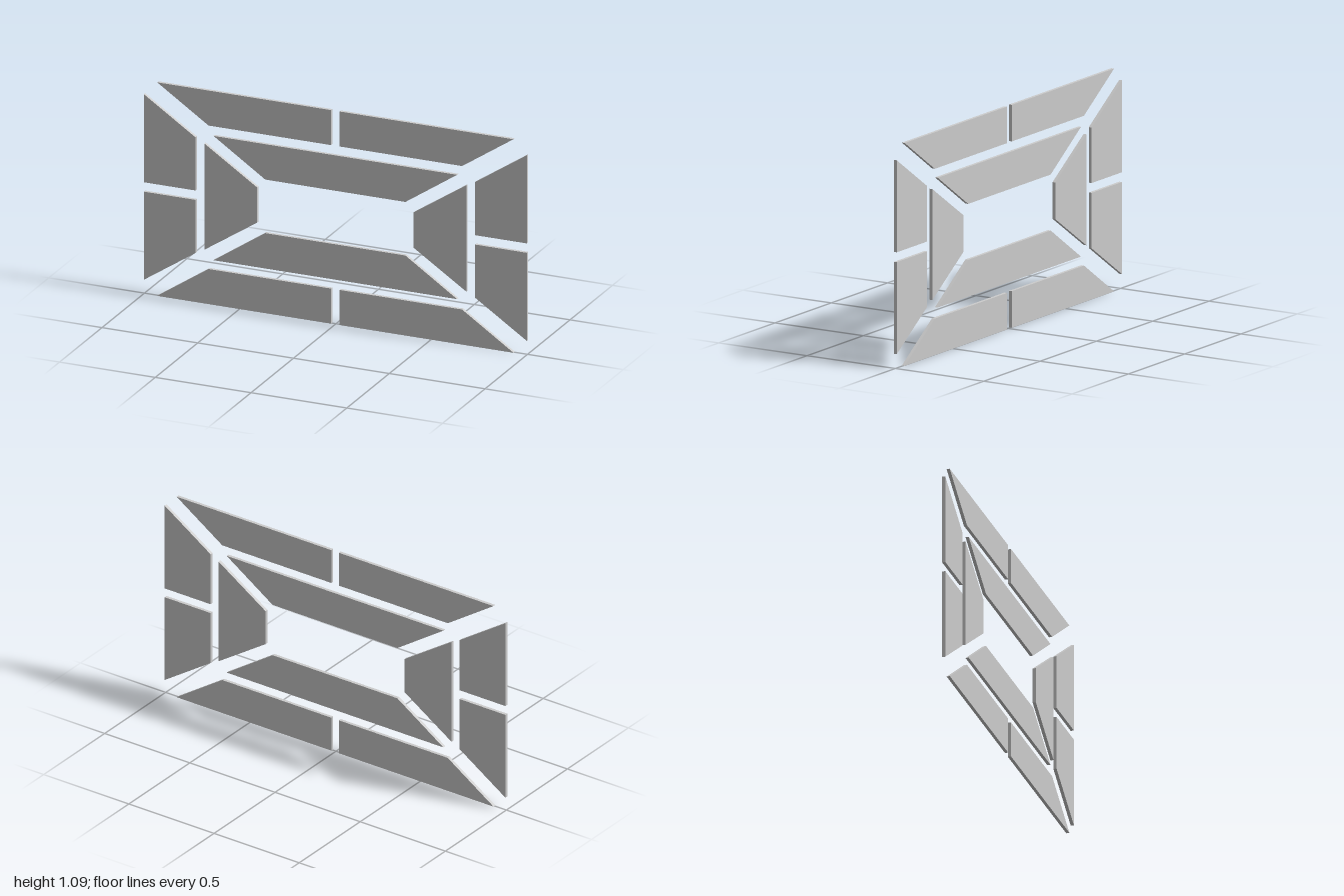
import * as THREE from 'three';

const DEPTH = 0.016;  // panel thickness
const MID_Y = 0.546;  // height of the horizontal mirror line

export function createModel() {
  const model = new THREE.Group();
  model.name = 'panelFrame';
  const material = new THREE.MeshStandardMaterial({ color: 0xcccccc, flatShading: true });

  // Extrudes one flat panel; corners are relative to the frame centre, mirrored by sx and sy
  function addPanel(name, corners, sx, sy) {
    const shape = new THREE.Shape(corners.map(([x, y]) => new THREE.Vector2(x * sx, y * sy)));
    const geometry = new THREE.ExtrudeGeometry(shape, { depth: DEPTH, bevelEnabled: false });
    geometry.translate(0, MID_Y, -DEPTH / 2);
    const mesh = new THREE.Mesh(geometry, material);
    mesh.name = name;
    model.add(mesh);
  }

  // Upper left quarter of the outer ring
  const outerRail = [[0.022, 0.546], [0.93, 0.546], [0.662, 0.367], [0.022, 0.367]];
  const outerSide = [[1, 0.475], [1, 0.024], [0.73, 0.024], [0.73, 0.296]];
  // Whole trapezoids of the inner ring
  const innerRail = [[-0.636, 0.318], [0.636, 0.318], [0.366, 0.137], [-0.366, 0.137]];
  const innerSide = [[0.684, 0.272], [0.684, -0.272], [0.408, -0.09], [0.408, 0.09]];

  for (const [vertical, sy] of [['Upper', 1], ['Lower', -1]]) {
    for (const [side, sx] of [['Left', 1], ['Right', -1]]) {
      addPanel(`outerRail${vertical}${side}`, outerRail, sx, sy);
      addPanel(`outerSide${vertical}${side}`, outerSide, sx, sy);
    }
    addPanel(`innerRail${vertical}`, innerRail, 1, sy);
  }
  addPanel('innerSideLeft', innerSide, 1, 1);
  addPanel('innerSideRight', innerSide, -1, 1);

  return model;
}
